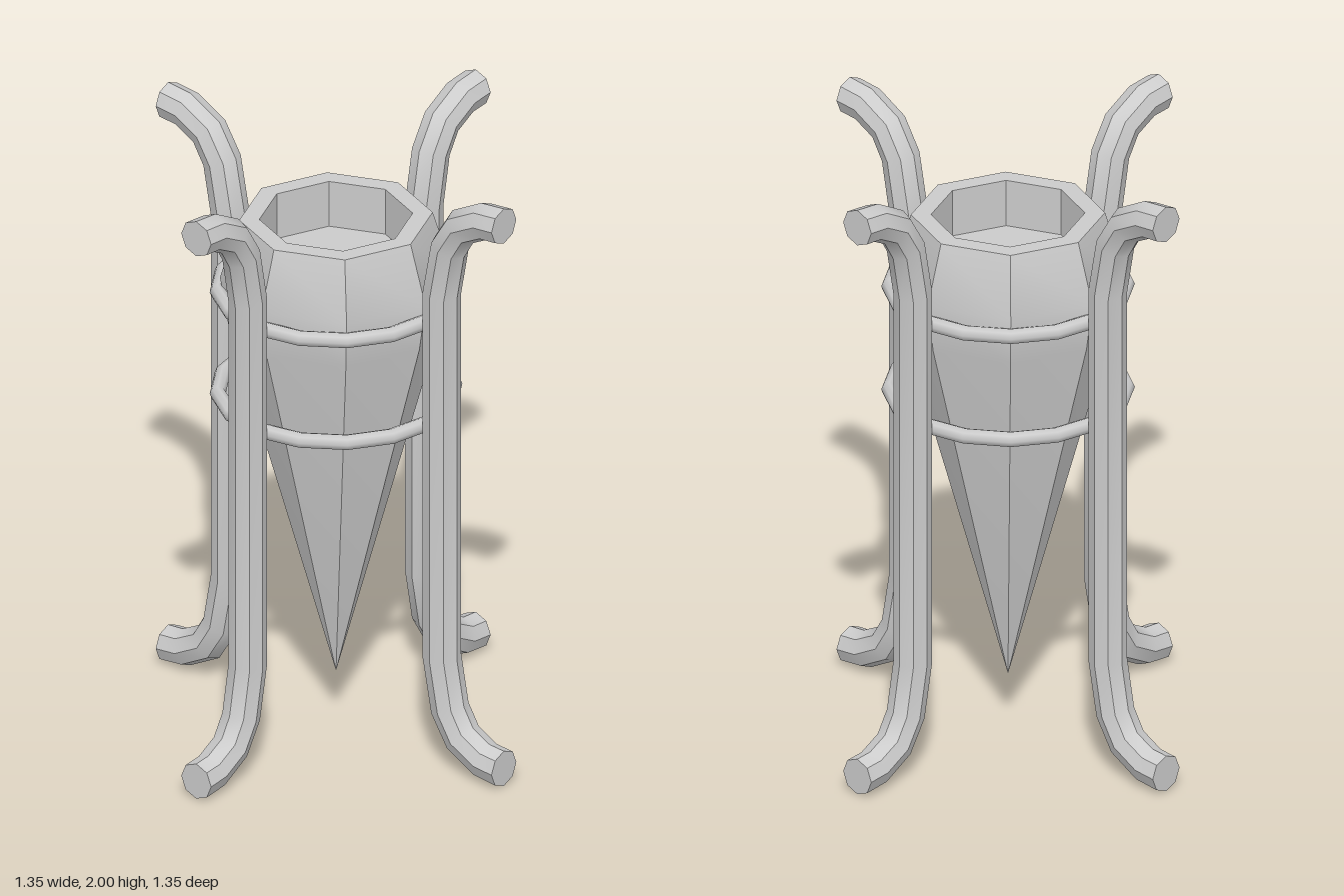
import * as THREE from 'three';
import { toCreasedNormals } from 'three/addons/utils/BufferGeometryUtils.js';

const CREASE = 0.6;
const material = new THREE.MeshStandardMaterial({ color: 0xcccccc });

// Upper half of the leg's centre line: outward distance, height above the middle
const BEND = [[0.426, 0.63], [0.458, 0.8], [0.51, 0.885], [0.6, 0.933], [0.675, 0.94]];

// Octagonal bar swept along the centre line, with upright end caps
function legGeometry() {
  const path = [
    ...BEND.map(([u, h]) => new THREE.Vector2(u, 1 - h)).reverse(),
    ...BEND.map(([u, h]) => new THREE.Vector2(u, 1 + h)),
  ];
  const last = path.length - 1;
  const geometry = new THREE.CylinderGeometry(0.06, 0.06, 1, 8, last);
  const pos = geometry.attributes.position;
  for (let i = 0; i < pos.count; i++) {
    const k = Math.round((pos.getY(i) + 0.5) * last);
    const tangent = new THREE.Vector2();
    if (k === 0) tangent.set(-1, 0);
    else if (k === last) tangent.set(1, 0);
    else {
      const before = path[k].clone().sub(path[k - 1]).normalize();
      const after = path[k + 1].clone().sub(path[k]).normalize();
      tangent.addVectors(before, after).normalize();
    }
    const x = pos.getX(i);
    pos.setXY(i, path[k].x + tangent.y * x, path[k].y - tangent.x * x);
  }
  return toCreasedNormals(geometry, CREASE);
}

// Eight-sided pointed vessel with a thick rim and shallow recess
function vesselGeometry() {
  const profile = [
    [0, 0.18], [0.335, 1.4], [0.36, 1.56], [0.3, 1.755],
    [0.238, 1.755], [0.238, 1.6], [0, 1.6],
  ].map(([r, y]) => new THREE.Vector2(r, y));
  return toCreasedNormals(new THREE.LatheGeometry(profile, 8), CREASE);
}

export function createModel() {
  const model = new THREE.Group();
  model.name = 'vesselOnStand';
  const add = (name, geometry) => {
    const mesh = new THREE.Mesh(geometry, material);
    mesh.name = name;
    model.add(mesh);
    return mesh;
  };

  add('vessel', vesselGeometry());

  // Four legs around the vessel
  const leg = legGeometry();
  ['leftLeg', 'backLeg', 'rightLeg', 'frontLeg'].forEach((name, i) => {
    add(name, leg).rotation.y = i * Math.PI / 2;
  });

  // Two hoops joining the legs
  const hoop = new THREE.TorusGeometry(0.367, 0.025, 8, 16).rotateX(Math.PI / 2);
  add('upperHoop', hoop).position.y = 1.51;
  add('lowerHoop', hoop).position.y = 1.157;

  return model;
}
